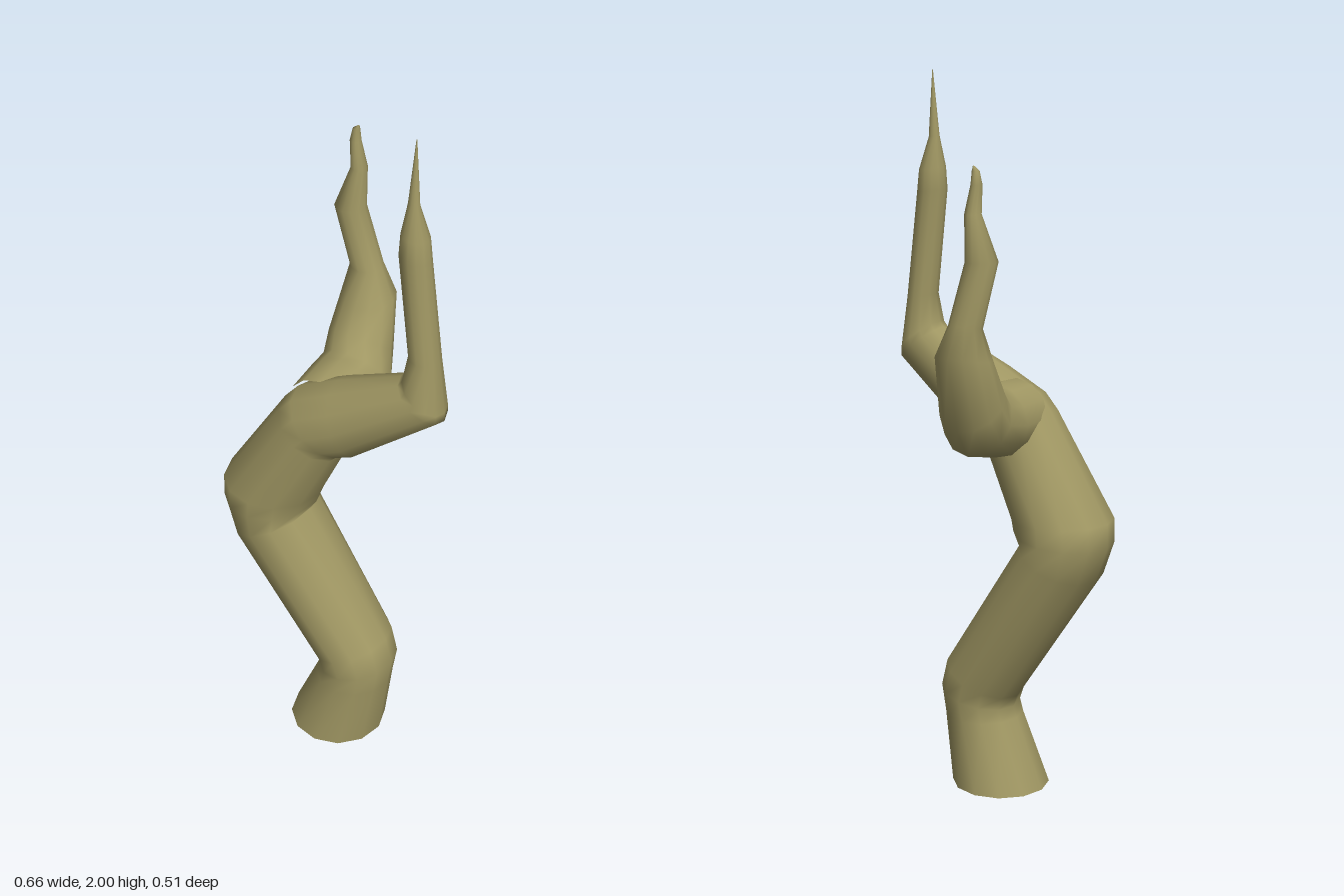
import * as THREE from 'three';

const SIDES = 12;

// Lofts a closed tube through elliptical rings {m: centre, u: half-axis, v: half-axis}
function loft(rings) {
  const pos = [], index = [];
  for (const { m, u, v } of rings) {
    for (let j = 0; j < SIDES; j++) {
      const a = (j / SIDES) * Math.PI * 2;
      const p = m.clone().addScaledVector(u, Math.cos(a)).addScaledVector(v, Math.sin(a));
      pos.push(p.x, p.y, p.z);
    }
  }
  for (let i = 0; i < rings.length - 1; i++) {
    for (let j = 0; j < SIDES; j++) {
      const a = i * SIDES + j, b = i * SIDES + (j + 1) % SIDES;
      index.push(a, a + SIDES, b, b, a + SIDES, b + SIDES);
    }
  }
  const g = new THREE.BufferGeometry();
  g.setAttribute('position', new THREE.Float32BufferAttribute(pos, 3));
  g.setIndex(index);
  g.computeVertexNormals();
  return g;
}

// Ring spanning two opposite edge points, with a third half-axis across
function ring(a, b, v) {
  return {
    m: a.clone().add(b).multiplyScalar(0.5),
    u: b.clone().sub(a).multiplyScalar(0.5),
    v,
  };
}

export function createModel() {
  const group = new THREE.Group();
  const bark = new THREE.MeshStandardMaterial({ color: 0xa09763 });
  bark.name = 'olive bark';
  const V = (x, y, z) => new THREE.Vector3(x, y, z);
  const add = (name, geometry) => {
    const mesh = new THREE.Mesh(geometry, bark);
    mesh.name = name;
    group.add(mesh);
    return mesh;
  };

  // Trunk: left x, y, right x, y, half depth
  const trunkZ = 0.115;
  const trunk = [
    [-0.13, 0, 0.145, 0, 0.137],
    [-0.045, 0.2, 0.172, 0.2, 0.115],
    [-0.034, 0.232, 0.185, 0.28, 0.116],
    [-0.045, 0.265, 0.165, 0.36, 0.118],
    [-0.295, 0.645, -0.08, 0.74, 0.14],
    [-0.332, 0.745, -0.058, 0.775, 0.141],
    [-0.332, 0.815, -0.05, 0.805, 0.139],
    [-0.15, 1.105, 0.03, 0.978, 0.113],
    [-0.11, 1.152, 0.046, 0.993, 0.11],
    [0.01, 1.215, 0.09, 1.01, 0.103],
    [0.2, 1.3, 0.328, 1.205, 0.068],
    [0.212, 1.315, 0.328, 1.23, 0.064],
    [0.226, 1.39, 0.31, 1.38, 0.046],
    [0.193, 1.68, 0.277, 1.67, 0.041],
    [0.197, 1.74, 0.271, 1.73, 0.037],
    [0.213, 1.825, 0.243, 1.82, 0.014],
    [0.231, 2, 0.233, 2, 0.001],
  ];
  add('trunk', loft(trunk.map(([lx, ly, rx, ry, d]) =>
    ring(V(lx, ly, trunkZ), V(rx, ry, trunkZ), V(0, 0, d)))));

  // Underside of the trunk
  const base = add('trunkBase', new THREE.CircleGeometry(0.1375, SIDES));
  base.rotation.x = Math.PI / 2;
  base.position.set(0.0075, 0, trunkZ);

  // Rear branch: inner z, y, outer z, y, centre x, half width
  const branch = [
    [0.11, 1.185, 0.1, 0.99, -0.045, 0.1],
    [0.0, 1.19, 0.0, 0.985, -0.045, 0.106],
    [-0.03, 1.19, -0.13, 1.015, -0.043, 0.104],
    [-0.07, 1.22, -0.21, 1.1, -0.065, 0.093],
    [-0.105, 1.28, -0.255, 1.3, -0.066, 0.077],
    [-0.15, 1.37, -0.235, 1.385, -0.079, 0.046],
    [-0.14, 1.55, -0.227, 1.55, -0.123, 0.043],
    [-0.163, 1.67, -0.215, 1.67, -0.1, 0.021],
    [-0.173, 1.745, -0.205, 1.745, -0.111, 0.015],
    [-0.178, 1.78, -0.198, 1.78, -0.108, 0.01],
    [-0.186, 1.793, -0.188, 1.793, -0.1, 0.001],
  ];
  add('rearBranch', loft(branch.map(([iz, iy, oz, oy, x, w]) =>
    ring(V(x, iy, iz), V(x, oy, oz), V(w, 0, 0)))));

  return group;
}
